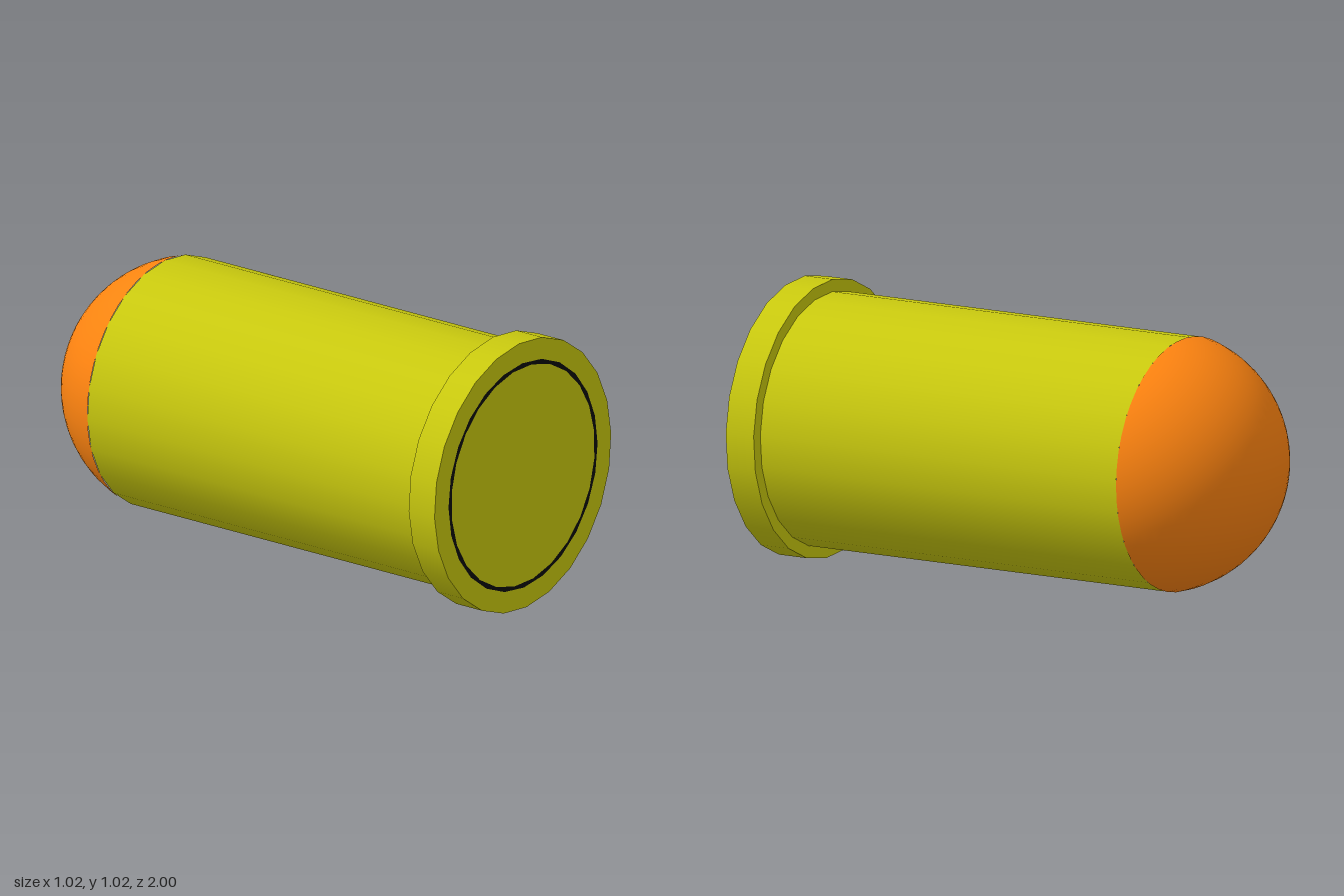
import * as THREE from 'three';

const SIDES = 24;
const YELLOW = 0xc8c80e;
const ORANGE = 0xff8410;
const BLACK = 0x0a0a0a;
const TWIST = THREE.MathUtils.degToRad(2.5);

export function createModel() {
  const model = new THREE.Group();
  model.name = 'cartridge';

  // All parts share one axis along z, at half the rim's height
  const add = (name, geometry, color) => {
    const mesh = new THREE.Mesh(geometry, new THREE.MeshStandardMaterial({ color }));
    mesh.name = name;
    mesh.position.y = 0.51;
    model.add(mesh);
  };

  const tube = (radius, z0, z1, open) =>
    new THREE.CylinderGeometry(radius, radius, z1 - z0, SIDES, 1, open)
      .rotateX(Math.PI / 2)
      .rotateZ(TWIST)
      .translate(0, 0, (z0 + z1) / 2);

  // Straight casing, its ends hidden by the dome and the rim
  add('casing', tube(0.465, -0.64, 0.89, true), YELLOW);

  // Wider base rim with flat faces
  add('baseRim', tube(0.51, 0.88, 0.999, false), YELLOW);

  // Thin dark ring, inner edge turned half a step from the outer edge
  const step = (Math.PI * 2) / SIDES;
  const circle = (radius, phase) =>
    Array.from({ length: SIDES }, (_, i) =>
      new THREE.Vector2(radius * Math.cos(i * step + phase), radius * Math.sin(i * step + phase)));
  const ring = new THREE.Shape(circle(0.43, 0.01));
  ring.holes.push(new THREE.Path(circle(0.414, 0.01 + step / 2)));
  add('baseRing', new THREE.ShapeGeometry(ring).translate(0, 0, 1), BLACK);

  // Rounded tip: a spherical cap reaching back to z = -1
  const radius = 0.48;
  const centreZ = -0.52;
  const capAngle = Math.acos((-0.64 - centreZ) / -radius);
  const dome = new THREE.SphereGeometry(radius, 48, 16, 0, Math.PI * 2, 0, capAngle)
    .rotateX(-Math.PI / 2)
    .translate(0, 0, centreZ);
  add('roundedTip', dome, ORANGE);

  return model;
}
